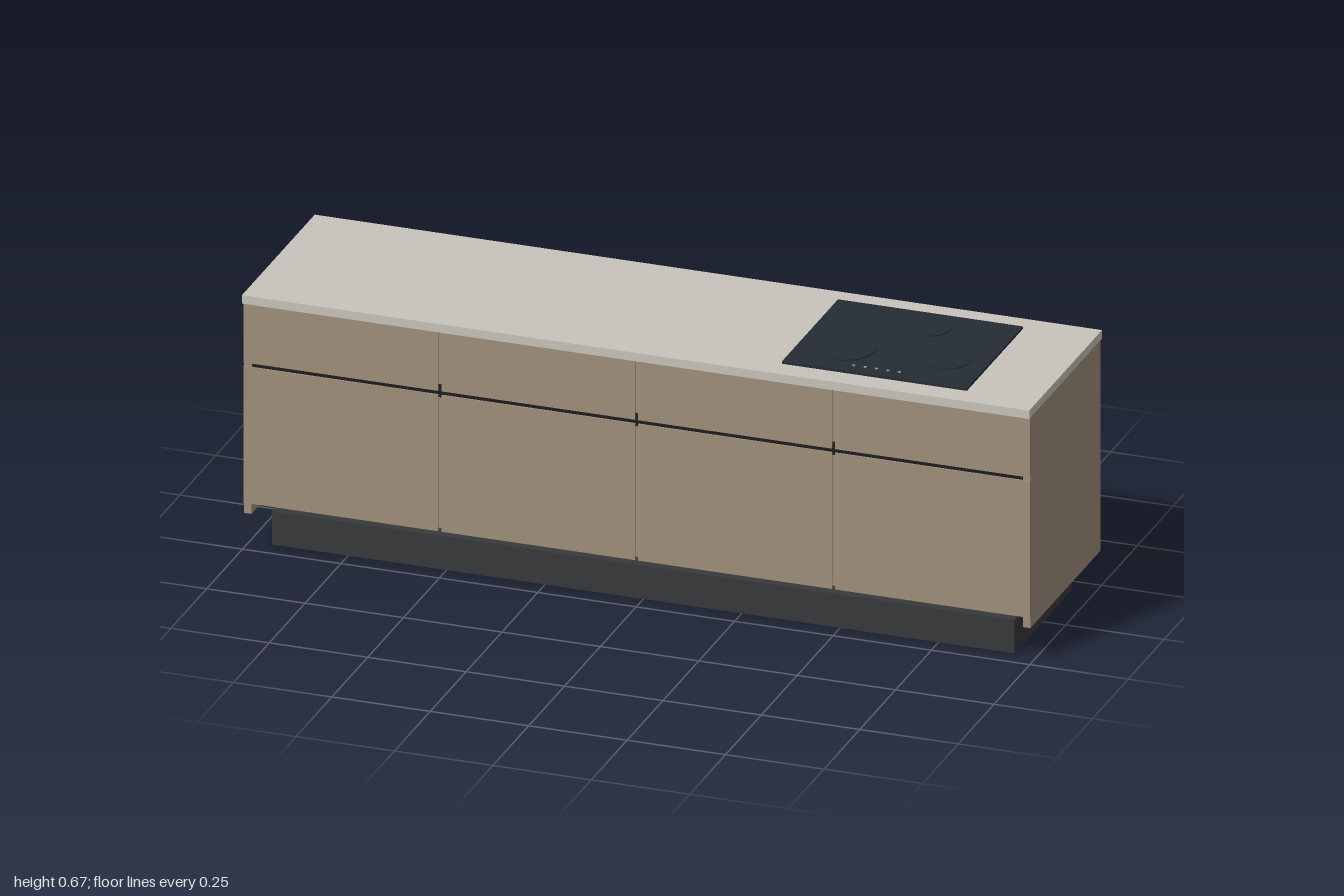
import * as THREE from 'three';

const paint = (color) => new THREE.MeshStandardMaterial({ color });

export function createModel() {
  const island = new THREE.Group();
  island.name = 'kitchenIsland';
  const wood = paint(0xa08f7a);
  const stone = paint(0xc8c4bc);
  const plinthGrey = paint(0x38393b);
  const black = paint(0x1c1d1f);
  const glass = paint(0x252c33);
  const mark = paint(0x8a8f94);

  // box given by its lower and upper limits on each axis
  function box(name, material, [x0, x1], [y0, y1], [z0, z1], parent = island) {
    const mesh = new THREE.Mesh(new THREE.BoxGeometry(x1 - x0, y1 - y0, z1 - z0), material);
    mesh.position.set((x0 + x1) / 2, (y0 + y1) / 2, (z0 + z1) / 2);
    mesh.name = name;
    parent.add(mesh);
    return mesh;
  }

  // recessed base and worktop
  box('plinth', plinthGrey, [-0.943, 0.943], [0, 0.087], [-0.2, 0.2]);
  box('worktop', stone, [-1, 1], [0.642, 0.664], [-0.254, 0.254]);

  // carcass
  box('rightSidePanel', wood, [-0.999, -0.98], [0.092, 0.642], [-0.245, 0.243]);
  box('leftSidePanel', wood, [0.98, 0.999], [0.092, 0.642], [-0.245, 0.243]);
  box('backPanel', wood, [-0.98, 0.98], [0.092, 0.638], [-0.242, -0.225]);
  box('bottomShelf', wood, [-0.98, 0.98], [0.124, 0.142], [-0.225, 0.235]);
  for (const x of [-0.5, 0, 0.5]) {
    box('divider', wood, [x - 0.015, x + 0.015], [0.142, 0.642], [-0.225, 0.232]);
  }
  box('gripChannel', black, [-0.98, 0.98], [0.465, 0.498], [0.2, 0.236]);

  // four bays, each with a drawer front above a door
  for (let i = 0; i < 4; i++) {
    const x0 = -1 + i * 0.5;
    const span = [x0 + (i === 0 ? 0.001 : 0.004), x0 + (i === 3 ? 0.499 : 0.496)];
    box('drawerFront', wood, span, [0.486, 0.641], [0.2432, 0.247]);
    box('door', wood, span, [0.12, 0.476], [0.2432, 0.247]);
  }

  // cooktop with three cooking zones and touch controls
  const cooktop = new THREE.Group();
  cooktop.name = 'cooktop';
  island.add(cooktop);
  box('glassPlate', glass, [0.35, 0.82], [0.664, 0.67], [-0.197, 0.195], cooktop);
  for (const [x, z, r] of [[0.465, 0.07, 0.075], [0.615, -0.11, 0.05], [0.715, 0.05, 0.06]]) {
    const zone = new THREE.Mesh(new THREE.CylinderGeometry(r, r, 0.003, 48), glass);
    zone.position.set(x, 0.6715, z);
    zone.name = 'cookingZone';
    cooktop.add(zone);
  }
  for (let i = 0; i < 5; i++) {
    const button = new THREE.Mesh(new THREE.CylinderGeometry(0.004, 0.004, 0.002, 12), mark);
    button.position.set(0.52 + i * 0.029, 0.671, 0.16);
    button.name = 'touchControl';
    cooktop.add(button);
  }
  return island;
}
